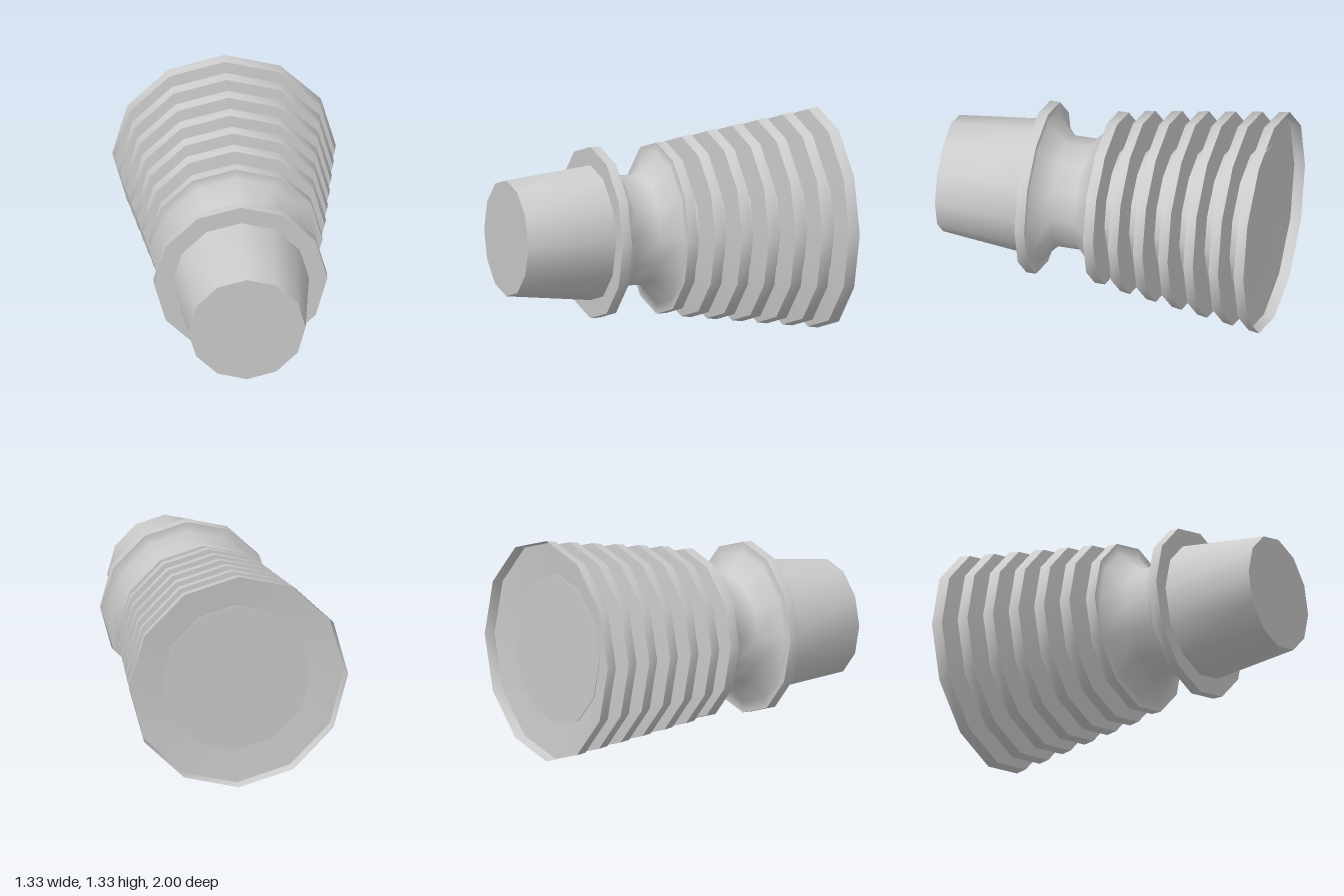
import * as THREE from 'three';
import { toCreasedNormals } from 'three/addons/utils/BufferGeometryUtils.js';

const SIDES = 12;
const AXIS_Y = 0.667;

export function createModel() {
  const group = new THREE.Group();
  group.name = 'ribbedConnector';
  const solid = new THREE.MeshStandardMaterial({ color: 0xcccccc });
  const open = new THREE.MeshStandardMaterial({ color: 0xcccccc, side: THREE.DoubleSide });

  // Turned part along z; profile is [radius, z] running from back to front
  const turn = (name, profile, { crease = 0.7, material = solid } = {}) => {
    const points = profile.map(([r, z]) => new THREE.Vector2(r, z));
    let geometry = new THREE.LatheGeometry(points, SIDES);
    if (crease) geometry = toCreasedNormals(geometry, crease);
    geometry.rotateX(Math.PI / 2);
    const mesh = new THREE.Mesh(geometry, material);
    mesh.name = name;
    mesh.position.y = AXIS_Y;
    group.add(mesh);
  };

  // Tapered plug at the front
  turn('plug', [[0.408, 0.455], [0.35, 1], [0, 1]]);

  // Flanges either side of the neck
  turn('frontFlange', [[0.517, 0.4], [0.517, 0.46], [0.4, 0.46]]);
  turn('middleFlange', [[0.322, -0.042], [0.517, -0.026], [0.517, 0.036]]);

  // Waist and the inner flange faces, smoothly shaded as one surface
  turn('neck', [
    [0.517, 0.036], [0.453, 0.036], [0.335, 0.145],
    [0.335, 0.29], [0.453, 0.4], [0.517, 0.4],
  ], { crease: 0 });

  // Core widening to the back, its end set inside the last rib
  turn('core', [[0, -0.924], [0.457, -0.924], [0.322, -0.03]]);

  // Six growing ribs, each thinner at the rim than at the core
  for (let i = 0; i < 6; i++) {
    const z = -0.155 - 0.1625 * i;
    const rim = 0.552 + 0.023 * i;
    const base = 0.335 + 0.0245 * i;
    const front = [[rim - 0.01, z + 0.031], [base, z + 0.048]];
    // The end rib is a shell, open at the back
    if (i === 5) turn('endRib', [[rim, -1], ...front], { material: open });
    else turn('rib' + (i + 1), [[base, z - 0.048], [rim, z - 0.031], ...front]);
  }
  return group;
}
